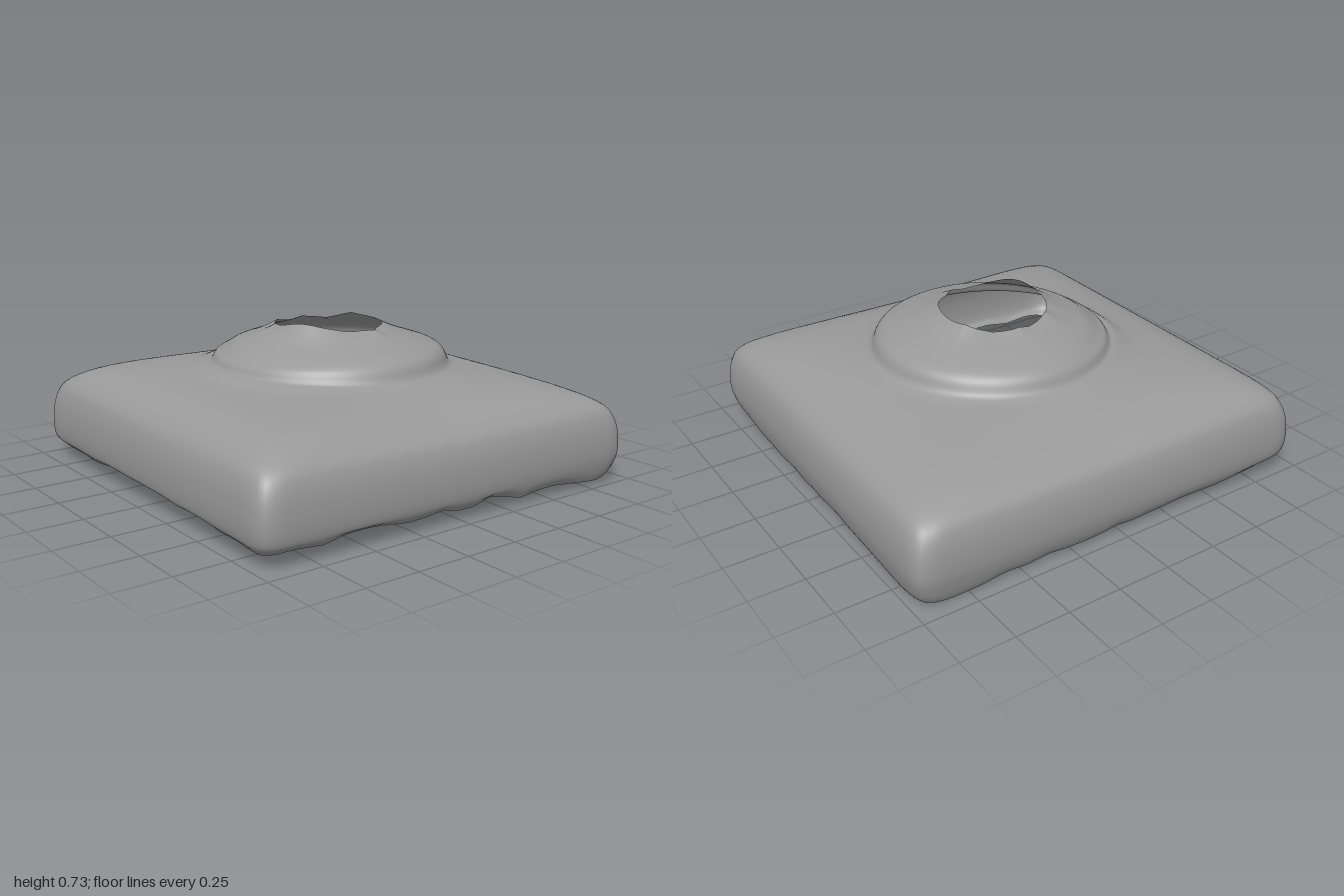
import * as THREE from 'three';

const SEGMENTS = 240;
const ROWS = 64;
const SKEW = 0.018; // slight turn of the square about y

// Profile from the broken hole to the rim: half width, height, roundness
// (0.5 is a circle, towards 0 is a square)
const profile = new THREE.CatmullRomCurve3([
  [0.245, 0.69, 0.5], [0.32, 0.66, 0.5], [0.42, 0.627, 0.5], [0.5, 0.598, 0.5],
  [0.53, 0.572, 0.5], [0.555, 0.522, 0.5], [0.585, 0.504, 0.48], [0.65, 0.482, 0.33],
  [0.77, 0.44, 0.15], [0.88, 0.39, 0.065], [0.94, 0.345, 0.042], [0.967, 0.285, 0.035],
  [0.98, 0.2, 0.033], [0.978, 0.12, 0.033], [0.965, 0.07, 0.036], [0.945, 0.035, 0.042],
].map(p => new THREE.Vector3(...p)), false, 'centripetal');

function seeded(seed) {
  return () => {
    seed = (seed * 16807) % 2147483647;
    return seed / 2147483647;
  };
}

// Smooth bump of width w around c
const bump = (v, c, w) => Math.exp(-(((v - c) / w) ** 2));

// Ragged offsets for an edge, blended between a few random points
function raggedEdge(seed, count) {
  const random = seeded(seed);
  const offsets = Array.from({ length: count }, () => random() * 2 - 1);
  return u => {
    const i = Math.floor(u * count), f = u * count - i;
    return THREE.MathUtils.lerp(offsets[i % count], offsets[(i + 1) % count], f);
  };
}

function createShell() {
  const positions = [], indices = [];
  const holeEdge = raggedEdge(41, 15);
  const rimEdge = raggedEdge(977, 70);
  for (let j = 0; j <= ROWS; j++) {
    const t = j / ROWS;
    const ring = profile.getPoint(t);
    const n = 1 / ring.z;
    const atHole = Math.max(0, 1 - t * 10);
    const atRim = THREE.MathUtils.smoothstep(t, 0.88, 1);
    for (let i = 0; i < SEGMENTS; i++) {
      const u = i / SEGMENTS, a = u * Math.PI * 2;
      const c = Math.cos(a), s = Math.sin(a);
      let r = ring.x * (Math.abs(c) ** n + Math.abs(s) ** n) ** (-1 / n);
      r += atHole * (0.012 * holeEdge(u) + 0.028 * bump(a, Math.PI * 2 - 0.24, 0.13));
      const x = r * c, z = r * s;

      // Fuller front shoulder, and a dome lip worn soft at the front
      const soft = bump(a, 1.9, 1);
      let y = ring.y + 0.035 * Math.max(z, 0) * bump(ring.x, 0.8, 0.17) * (1 - atRim) * Math.min(1, ring.y / 0.3) ** 2;
      y += soft * (0.02 * bump(ring.x, 0.58, 0.03) - 0.02 * bump(ring.x, 0.5, 0.04));

      // Uneven hole, and a ragged rim that sinks to the back
      y += atHole * (0.015 * holeEdge((u * 1.7) % 1) * Math.sin(a / 2) + 0.03 * bump(a, 1.05, 0.5));
      const sideLift = 0.03 * Math.max(bump(a, Math.PI / 2, 0.5), bump(a, 0, 0.6), bump(a, 2 * Math.PI, 0.6));
      const ragged = 0.008 + 0.008 * Math.max(c, 0);
      y += atRim * (0.024 * z + sideLift + ragged * rimEdge(u) - 0.003);

      // The dome sits slightly off centre
      const dome = 1 - THREE.MathUtils.smoothstep(ring.x, 0.55, 0.9);
      positions.push(
        x - SKEW * z + 0.012 * dome,
        Math.max(y, 0),
        z + SKEW * x - 0.018 * dome,
      );
      if (j < ROWS) {
        const k = (i + 1) % SEGMENTS;
        const p = j * SEGMENTS + i, q = j * SEGMENTS + k;
        indices.push(p, q, p + SEGMENTS, q, q + SEGMENTS, p + SEGMENTS);
      }
    }
  }
  const geometry = new THREE.BufferGeometry();
  geometry.setAttribute('position', new THREE.Float32BufferAttribute(positions, 3));
  geometry.setIndex(indices);
  geometry.computeVertexNormals();
  return geometry;
}

export function createModel() {
  const model = new THREE.Group();
  model.name = 'brokenSquareCap';
  // Thin open shell: square skirt, sloping shoulders and a round dome with a hole
  const material = new THREE.MeshStandardMaterial({ color: 0x999999, side: THREE.DoubleSide });
  const shell = new THREE.Mesh(createShell(), material);
  shell.name = 'domedShell';
  model.add(shell);
  return model;
}
